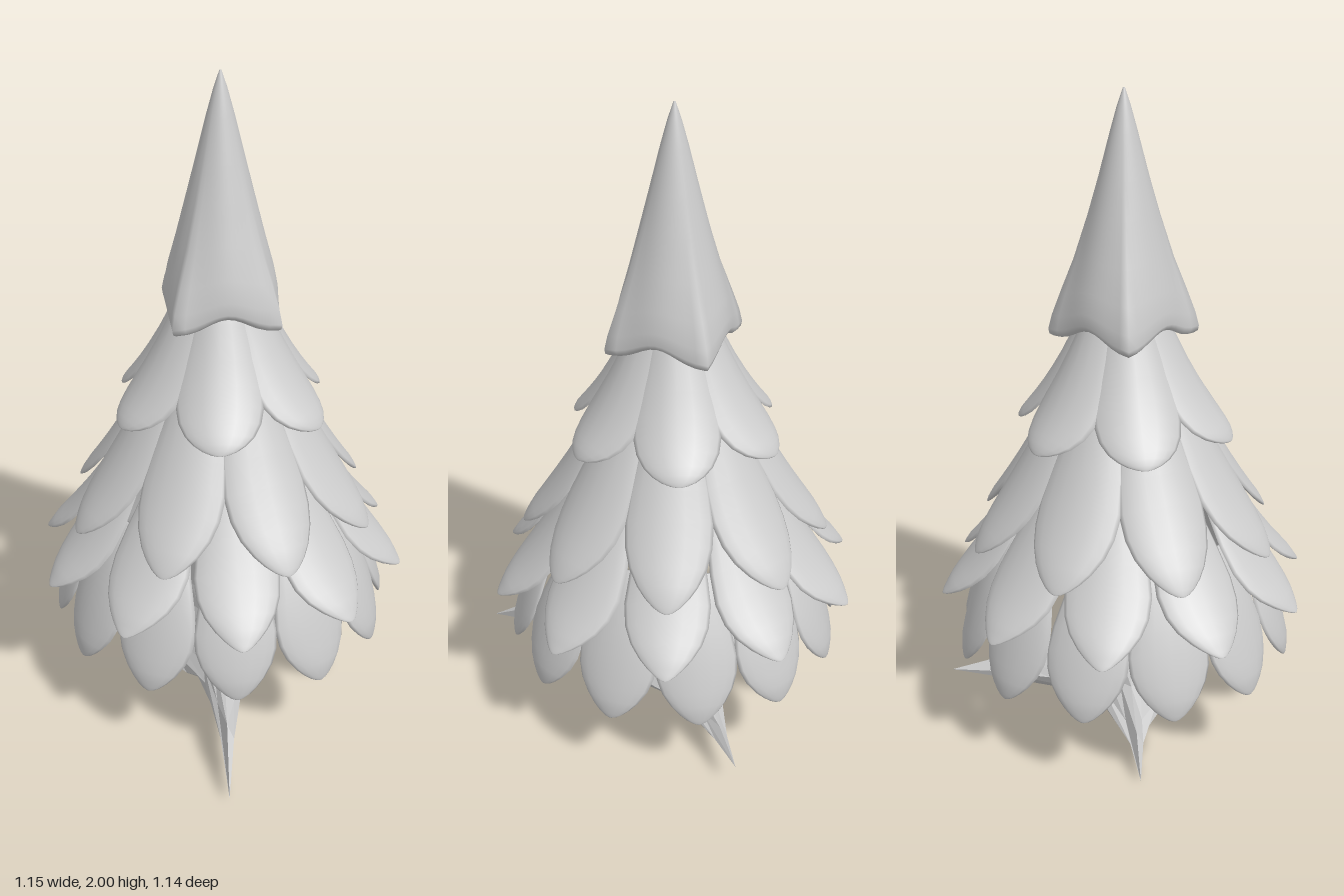
import * as THREE from 'three';

const { lerp, degToRad } = THREE.MathUtils;
const V = (x, y, z) => new THREE.Vector3(x, y, z);

// Skin a stack of closed rings (top to bottom) and close both ends with a fan.
function loft(rings) {
  const n = rings[0].length;
  const pts = rings.flat();
  const idx = [];
  for (let i = 0; i < rings.length - 1; i++) {
    for (let j = 0; j < n; j++) {
      const k = (j + 1) % n;
      const a = i * n + j, b = i * n + k, c = a + n, d = b + n;
      idx.push(a, b, c, b, d, c);
    }
  }
  const mid = (ring) => ring.reduce((s, p) => s.add(p), V(0, 0, 0)).divideScalar(n);
  const top = pts.push(mid(rings[0])) - 1;
  const bottom = pts.push(mid(rings[rings.length - 1])) - 1;
  const last = (rings.length - 1) * n;
  for (let j = 0; j < n; j++) {
    const k = (j + 1) % n;
    idx.push(top, k, j, bottom, last + j, last + k);
  }
  const geo = new THREE.BufferGeometry().setFromPoints(pts);
  geo.setIndex(idx);
  geo.computeVertexNormals();
  return geo;
}

// Petal outline: [position along the bough, blunt half-width, pointed half-width].
const OUTLINE = [[0, 0.5, 0.5], [0.2, 0.66, 0.68], [0.4, 0.85, 0.9], [0.55, 0.97, 1],
  [0.67, 1, 0.96], [0.77, 0.98, 0.82], [0.86, 0.86, 0.6], [0.92, 0.68, 0.41],
  [0.965, 0.45, 0.24], [0.99, 0.22, 0.12], [1, 0.04, 0.03]];

// Bough: a thin oval section swept down a bent path, edges bowed inward.
function boughGeometry({ path, half, thick, sharp }) {
  const curve = new THREE.QuadraticBezierCurve(...path.map(([r, y]) => new THREE.Vector2(r, y)));
  const rings = OUTLINE.map(([u, blunt, pointed]) => {
    const w = lerp(blunt, pointed, sharp);
    const c = curve.getPoint(u);
    const t = curve.getTangent(u);
    const h = half * w;
    const th = thick * Math.min(1, w * 1.6);
    const bow = (0.6 * h * h) / Math.max(c.x, 0.12);
    return Array.from({ length: 16 }, (_, j) => {
      const a = (j / 16) * Math.PI * 2;
      const out = th * Math.sin(a) - bow * Math.cos(a) ** 2;
      return V(h * Math.cos(a), c.y + out * t.x, c.x - out * t.y);
    });
  });
  return loft(rings);
}

// Pointed crown: round at the tip, spreading to a four-cornered scalloped hem.
function crownGeometry() {
  const profile = [[0, 0.003], [0.07, 0.02], [0.17, 0.04], [0.35, 0.074], [0.5, 0.105],
    [0.68, 0.147], [0.82, 0.187], [0.92, 0.214], [0.98, 0.225], [1, 0.222], [1.01, 0.21],
    [0.96, 0.19], [0.9, 0.09]];
  const rings = profile.map(([u, r]) => Array.from({ length: 48 }, (_, j) => {
    const a = (j / 48) * Math.PI * 2;
    const c = Math.abs(Math.cos(a)), s = Math.abs(Math.sin(a));
    const k = Math.min(1, u * u);
    const radius = r * lerp(1, 1 / (c + s) + 0.03 * Math.sin(2 * a) ** 2, k);
    const lobe = Math.cos(2 * a) ** 2;
    const hem = lerp(1.325, 1.28, lobe);
    return V(radius * Math.cos(a), 2 - u * lerp(0.72, 2 - hem, k), radius * Math.sin(a));
  }));
  return loft(rings);
}

// Faceted trunk flaring into three webbed roots.
const ROOTS = [
  { tip: [0.565, 0.09, 0.06], outerY: 0.1, midY: 0.115, width: 0.075 },
  { tip: [-0.545, 0.03, 0.45], outerY: 0.12, midY: 0.13, width: 0.06 },
  { tip: [-0.02, 0.015, -0.48], outerY: 0.075, midY: 0.11, width: 0.085 },
];

function trunkGeometry() {
  const rim = [];
  ROOTS.forEach(({ tip, outerY, midY, width }, i) => {
    const len = Math.hypot(tip[0], tip[2]);
    const dir = Math.atan2(tip[2], tip[0]);
    const step = degToRad(20);
    const add = (p, angle, crest, low) => rim.push({ p, angle, crest, low });
    const addSide = (k, along, side, y) => add(V(
      Math.cos(dir) * along - Math.sin(dir) * side, y,
      Math.sin(dir) * along + Math.cos(dir) * side), dir + k * step, y + 0.03, y - 0.03);
    addSide(-2, len * 0.42, -width, midY);
    addSide(-1, len * 0.78, -0.02, outerY);
    add(V(...tip), dir, outerY + 0.035, outerY - 0.02);
    addSide(1, len * 0.78, 0.02, outerY);
    addSide(2, len * 0.42, width, midY);
    // web between this root and the next
    const next = ROOTS[(i + 1) % 3].tip;
    let gap = Math.atan2(next[2], next[0]) - dir;
    if (gap < 0) gap += Math.PI * 2;
    const v = dir + gap / 2;
    add(V(Math.cos(v) * 0.19, 0.11, Math.sin(v) * 0.19), v, 0.14, 0.07);
  });
  const round = (r, y, x = 0) => rim.map(({ angle }) => V(x + Math.cos(angle) * r, y, Math.sin(angle) * r));
  const blend = (t, yOf) => rim.map((q) => {
    const c = V(Math.cos(q.angle) * 0.11, 0, Math.sin(q.angle) * 0.11).lerp(q.p, t);
    return c.setY(yOf(q));
  });
  return loft([
    round(0.08, 1.3), round(0.1, 0.7), round(0.11, 0.34),
    blend(0.1, () => 0.27),
    blend(0.3, (q) => lerp(q.crest, 0.25, 0.5)),
    blend(0.7, (q) => q.crest),
    rim.map((q) => q.p),
    blend(0.7, (q) => q.low),
    round(0.12, 0.045, -0.06),
    round(0.02, 0.002, -0.05),
  ]);
}

// Bough tiers, top to bottom; path points are [radius, height].
const TIERS = [
  { count: 6, turn: 7, half: 0.13, thick: 0.013, sharp: 0.35, path: [[0.09, 1.4], [0.2, 1.13], [0.342, 0.975]] },
  { count: 8, turn: 17, half: 0.132, thick: 0.015, sharp: 0.7, path: [[0.16, 1.17], [0.31, 0.85], [0.483, 0.63]] },
  { count: 10, turn: -10, half: 0.128, thick: 0.015, sharp: 1, path: [[0.25, 0.92], [0.42, 0.61], [0.578, 0.46]] },
  { count: 12, turn: 13, half: 0.125, thick: 0.016, sharp: 0.8, path: [[0.36, 0.68], [0.48, 0.47], [0.525, 0.245]] },
];

export function createModel() {
  const model = new THREE.Group();
  model.name = 'tree';
  const smooth = new THREE.MeshStandardMaterial({ color: 0xcccccc });
  const faceted = new THREE.MeshStandardMaterial({ color: 0xcccccc, flatShading: true });

  const add = (parent, name, geo, mat) => {
    const mesh = new THREE.Mesh(geo, mat);
    mesh.name = name;
    parent.add(mesh);
    return mesh;
  };

  add(model, 'trunkAndRoots', trunkGeometry(), faceted);
  add(model, 'crown', crownGeometry(), smooth);

  TIERS.forEach((tier, i) => {
    const group = new THREE.Group();
    group.name = `boughTier${i + 1}`;
    const geo = boughGeometry(tier);
    for (let k = 0; k < tier.count; k++) {
      const bough = add(group, 'bough', geo, smooth);
      bough.rotation.y = degToRad(tier.turn + (360 * k) / tier.count);
    }
    model.add(group);
  });
  return model;
}
